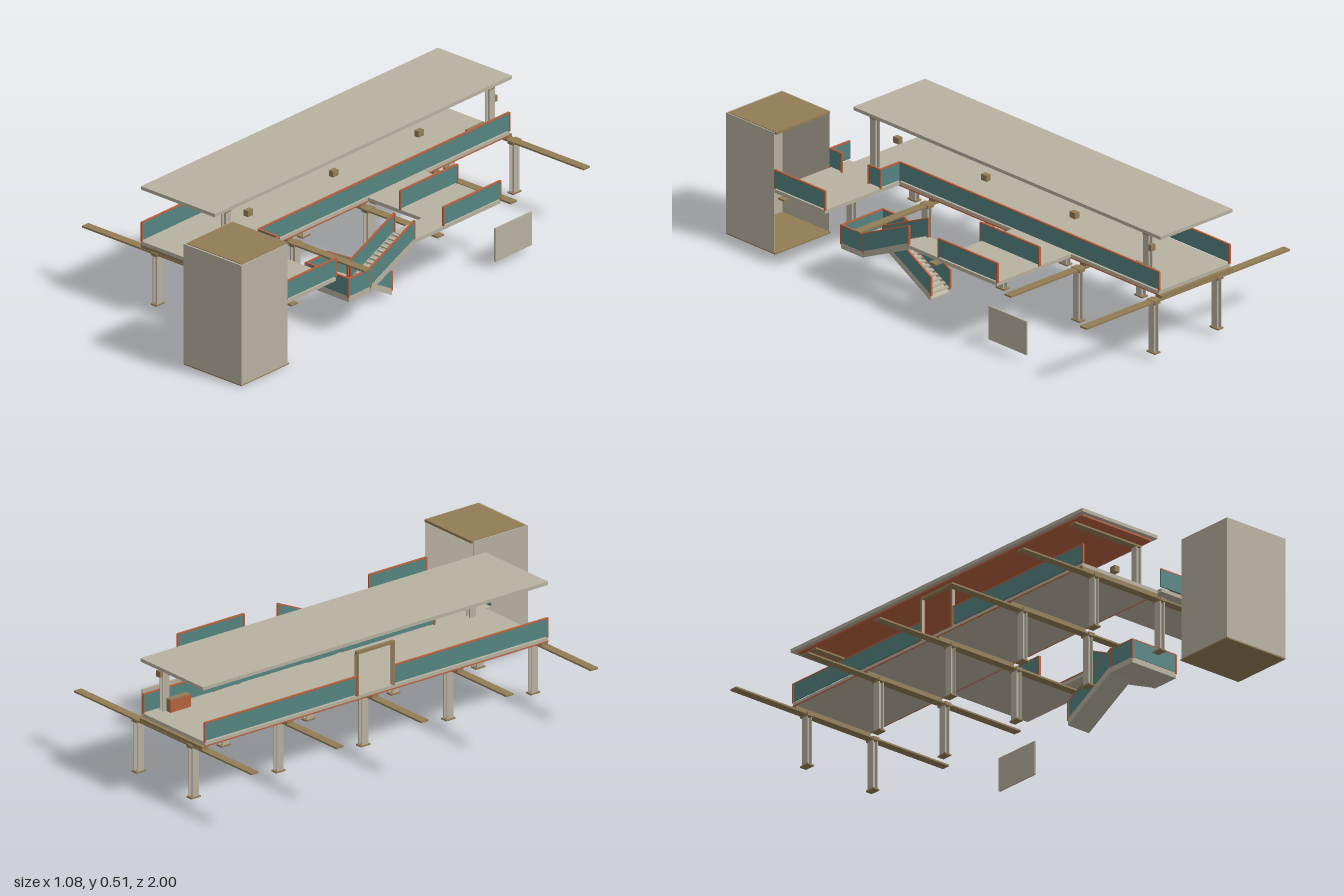
import * as THREE from 'three';

const material = (name, color) => {
  const m = new THREE.MeshStandardMaterial({ color });
  m.name = name;
  return m;
};

export function createModel() {
  const concrete = material('concrete', 0xb8b1a0);
  const timber = material('timber', 0x927c55);
  const teal = material('teal panel', 0x558481);
  const terracotta = material('terracotta', 0xb8623f);
  const model = new THREE.Group();

  const group = (name) => {
    const g = new THREE.Group();
    g.name = name;
    model.add(g);
    return g;
  };

  // box given by its minimum and maximum on each axis
  const box = (parent, name, mat, x0, x1, y0, y1, z0, z1) => {
    const mesh = new THREE.Mesh(new THREE.BoxGeometry(x1 - x0, y1 - y0, z1 - z0), mat);
    mesh.position.set((x0 + x1) / 2, (y0 + y1) / 2, (z0 + z1) / 2);
    mesh.name = name;
    parent.add(mesh);
  };

  // band following a line in the z-y plane, from lo to hi above it
  const band = (parent, name, mat, x0, x1, [za, ya], [zb, yb], lo, hi) => {
    const shape = new THREE.Shape([
      new THREE.Vector2(za, ya + lo), new THREE.Vector2(zb, yb + lo),
      new THREE.Vector2(zb, yb + hi), new THREE.Vector2(za, ya + hi),
    ]);
    const geo = new THREE.ExtrudeGeometry(shape, { depth: x1 - x0, bevelEnabled: false });
    geo.rotateY(-Math.PI / 2).translate(x1, 0, 0);
    const mesh = new THREE.Mesh(geo, mat);
    mesh.name = name;
    parent.add(mesh);
  };

  // railing along z, level or sloped: panel, cap and end posts
  const railing = (parent, x, a, b) => {
    band(parent, 'railPanel', teal, x - 0.003, x + 0.003, a, b, 0.006, 0.077);
    band(parent, 'railCap', terracotta, x - 0.004, x + 0.004, a, b, 0.077, 0.082);
    for (const [z, y] of [a, b]) {
      box(parent, 'railPost', terracotta, x - 0.004, x + 0.004, y, y + 0.08, z - 0.003, z + 0.003);
    }
  };
  // railing along x
  const crossRailing = (parent, z, x0, x1, y) => {
    box(parent, 'railPanel', teal, x0, x1, y + 0.006, y + 0.077, z - 0.003, z + 0.003);
    box(parent, 'railCap', terracotta, x0, x1, y + 0.077, y + 0.082, z - 0.004, z + 0.004);
  };

  const F = 0.272; // walking level

  // main deck and side platforms
  const deck = group('deck');
  box(deck, 'deckSlab', concrete, -0.241, 0.137, 0.257, F, -0.975, 0.71);
  box(deck, 'towerLanding', concrete, 0.137, 0.532, 0.257, F, 0.455, 0.735);
  box(deck, 'sidePlatform', concrete, 0.137, 0.527, 0.257, F, -0.49, -0.165);
  box(deck, 'stairWalkway', concrete, 0.415, 0.527, 0.257, F, -0.165, 0);
  for (const x of [-0.242, 0.138]) {
    box(deck, 'deckEdge', terracotta, x - 0.001, x + 0.001, 0.254, 0.259, -0.975, 0.71);
  }

  // railings
  const rails = group('railings');
  railing(rails, -0.238, [0.71, F], [-0.045, F]);
  railing(rails, -0.238, [-0.23, F], [-0.975, F]);
  railing(rails, 0.134, [0.455, F], [-0.975, F]);
  railing(rails, 0.53, [0.735, F], [0.455, F]);
  railing(rails, 0.238, [0.735, F], [0.67, F]);
  railing(rails, 0.238, [0.52, F], [0.455, F]);
  crossRailing(rails, 0.733, 0.134, 0.238, F);
  crossRailing(rails, 0.458, 0.134, 0.238, F);
  railing(rails, 0.525, [-0.165, F], [-0.49, F]);
  railing(rails, 0.303, [-0.165, F], [-0.49, F]);

  // five frames: long beam, deck bearer and two H-shaped columns
  for (const z of [-0.974, -0.557, -0.14, 0.278, 0.694]) {
    const frame = group('supportFrame');
    box(frame, 'longBeam', timber, -0.543, 0.535, 0.237, 0.244, z - 0.018, z + 0.018);
    box(frame, 'deckBearer', timber, -0.241, 0.137, 0.244, 0.257, z - 0.016, z + 0.016);
    for (const x of [-0.17, 0.163]) {
      for (const s of [-1, 1]) {
        box(frame, 'columnFlange', concrete, x + s * 0.01 - 0.002, x + s * 0.01 + 0.002, 0.03, 0.232, z - 0.016, z + 0.016);
      }
      box(frame, 'columnWeb', concrete, x - 0.008, x + 0.008, 0.03, 0.232, z - 0.003, z + 0.003);
      box(frame, 'columnBase', timber, x - 0.015, x + 0.015, 0.024, 0.03, z - 0.023, z + 0.023);
      box(frame, 'columnHead', timber, x - 0.015, x + 0.015, 0.232, 0.246, z - 0.023, z + 0.023);
    }
  }

  // roof with lined ceiling, posts on one side only
  const roof = group('roof');
  box(roof, 'roofSlab', concrete, -0.242, 0.138, 0.489, 0.503, -0.987, 0.71);
  box(roof, 'ceiling', terracotta, -0.225, 0.125, 0.482, 0.489, -0.965, 0.69);
  for (const z of [-0.89, 0.617]) {
    box(roof, 'roofBeam', timber, -0.212, 0.125, 0.475, 0.482, z - 0.016, z + 0.016);
    for (const s of [-1, 1]) {
      box(roof, 'postFlange', concrete, 0.112 + s * 0.01 - 0.002, 0.112 + s * 0.01 + 0.002, F, 0.482, z - 0.015, z + 0.015);
    }
    box(roof, 'postWeb', concrete, 0.104, 0.12, F, 0.482, z - 0.003, z + 0.003);
  }
  for (const z of [0.49, 0.004, -0.485, -0.905]) {
    box(roof, 'signalBox', timber, 0.102, 0.124, 0.415, 0.44, z - 0.015, z + 0.015);
  }

  // open door frame in the railing line
  const door = group('doorFrame');
  box(door, 'doorLintel', timber, -0.244, -0.23, 0.443, 0.455, -0.23, -0.045);
  for (const [z0, z1] of [[-0.23, -0.221], [-0.054, -0.045]]) {
    box(door, 'doorJamb', concrete, -0.243, -0.231, F, 0.443, z0, z1);
    box(door, 'doorJambFace', terracotta, -0.231, -0.229, F, 0.443, z0, z1);
    box(door, 'doorJambFace', timber, -0.245, -0.243, F, 0.443, z0, z1);
  }

  // counter
  const counter = group('counter');
  box(counter, 'counterBody', timber, 0.077, 0.102, F, 0.325, -0.89, -0.79);
  box(counter, 'counterFront', terracotta, 0.074, 0.077, F, 0.32, -0.89, -0.79);

  // lift tower, open at the back
  const tower = group('tower');
  box(tower, 'towerFrontWall', concrete, 0.238, 0.535, 0.005, 0.508, 0.992, 1);
  box(tower, 'towerWall', concrete, 0.238, 0.243, 0.005, 0.508, 0.735, 0.992);
  box(tower, 'towerWall', concrete, 0.53, 0.535, 0.005, 0.508, 0.735, 0.992);
  box(tower, 'towerFloor', timber, 0.239, 0.534, 0, 0.006, 0.727, 0.999);
  box(tower, 'towerRoof', timber, 0.244, 0.529, 0.5, 0.51, 0.727, 0.991);

  // two-flight stair with a turning landing
  const stair = group('stair');
  const L = 0.16;
  box(stair, 'stairLanding', concrete, 0.303, 0.525, 0.137, L, 0.25, 0.375);
  railing(stair, 0.523, [0.375, L - 0.005], [0.25, L - 0.005]);
  railing(stair, 0.305, [0.375, L - 0.005], [0.25, L - 0.005]);
  crossRailing(stair, 0.373, 0.303, 0.525, L - 0.005);
  const flight = (x0, x1, yEnd) => {
    const a = [0.25, L], b = [0, yEnd];
    const steps = 12;
    band(stair, 'stairSoffit', concrete, x0, x1, a, b, -0.02, -0.012);
    for (const x of [x0 + 0.003, x1 - 0.003]) {
      band(stair, 'stairStringer', concrete, x - 0.003, x + 0.003, a, b, -0.02, 0.008);
      railing(stair, x, a, b);
    }
    for (let i = 0; i < steps; i++) {
      const t = (i + 0.5) / steps;
      const z = 0.25 * (1 - t), y = L + (yEnd - L) * t;
      box(stair, 'stairTread', concrete, x0 + 0.006, x1 - 0.006, y - 0.003, y + 0.003, z - 0.008, z + 0.008);
    }
  };
  flight(0.303, 0.41, 0.022);
  flight(0.418, 0.527, F);

  // free-standing side panel
  box(model, 'sidePanel', concrete, 0.528, 0.535, 0.025, 0.165, -0.66, -0.452);

  return model;
}
